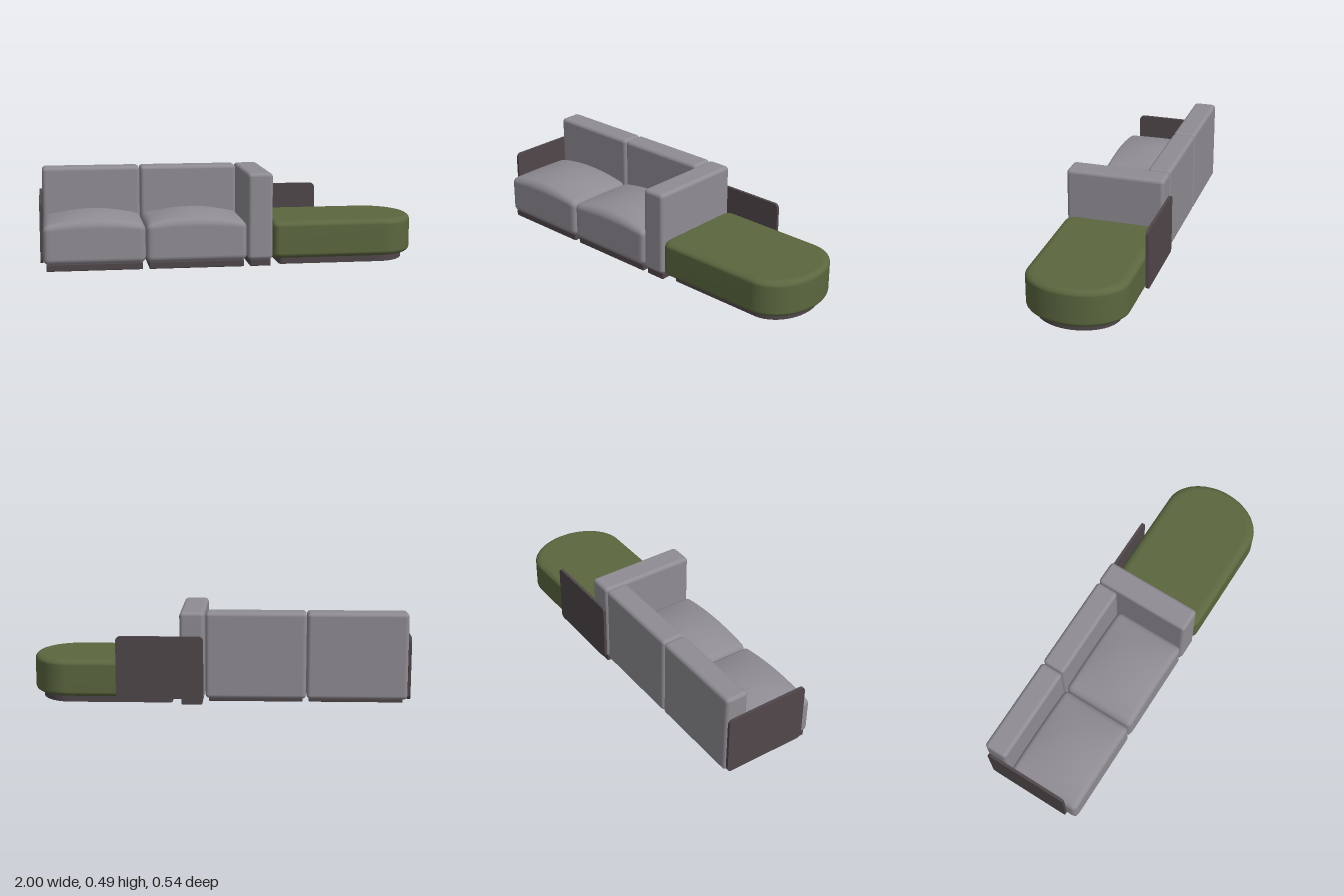
import * as THREE from 'three';
import { RoundedBoxGeometry } from 'three/addons/geometries/RoundedBoxGeometry.js';

export function createModel() {
  const model = new THREE.Group();
  model.name = 'sectionalSofa';

  const mat = (name, color) => {
    const m = new THREE.MeshStandardMaterial({ color });
    m.name = name;
    return m;
  };
  const grey = mat('greyFabric', 0x8f8c93);
  const green = mat('greenFabric', 0x5b673f);
  const brown = mat('darkBrownWood', 0x50474a);

  const add = (name, geometry, material) => {
    const mesh = new THREE.Mesh(geometry, material);
    mesh.name = name;
    model.add(mesh);
    return mesh;
  };

  // Rounded block given by its min and max corners
  const block = (name, [x0, y0, z0], [x1, y1, z1], r, material) =>
    add(name, new RoundedBoxGeometry(x1 - x0, y1 - y0, z1 - z0, 4, r), material)
      .position.set((x0 + x1) / 2, (y0 + y1) / 2, (z0 + z1) / 2);

  // Soft cushion: rounded edges plus a domed top
  function cushionGeometry(w, h, d, r, crown) {
    const g = new THREE.BoxGeometry(2, 2, 2, 24, 16, 24);
    const p = g.attributes.position, n = g.attributes.normal;
    const half = new THREE.Vector3(w / 2, h / 2, d / 2);
    const inner = half.clone().subScalar(r);
    const innerMin = inner.clone().negate();
    const v = new THREE.Vector3(), c = new THREE.Vector3(), q = new THREE.Vector3();
    const spread = (a) => Math.sin(a * Math.PI / 2);
    const dome = (x, z) => {
      const u = x / half.x, t = z / half.z;
      return crown * (1 - u * u) * (1 - 0.5 * t * t);
    };
    for (let i = 0; i < p.count; i++) {
      v.set(spread(p.getX(i)), spread(p.getY(i)), spread(p.getZ(i))).multiply(half);
      c.copy(v).clamp(innerMin, inner);
      q.copy(v).sub(c).normalize();
      v.copy(c).addScaledVector(q, r);
      const lift = Math.max(0, (v.y + half.y) / h);
      p.setXYZ(i, v.x, v.y + lift ** 4 * dome(v.x, v.z), v.z);
      // Tilt the normals of the domed top along with its slope
      if (q.y > 0) {
        const e = 0.002;
        q.x -= q.y * (dome(v.x + e, v.z) - dome(v.x - e, v.z)) / (2 * e);
        q.z -= q.y * (dome(v.x, v.z + e) - dome(v.x, v.z - e)) / (2 * e);
        q.normalize();
      }
      n.setXYZ(i, q.x, q.y, q.z);
    }
    return g;
  }

  // Two seat modules: base, seat cushion and backrest
  for (const [side, x0] of [['right', -0.985], ['left', -0.457]]) {
    const x1 = x0 + 0.525;
    block(side + 'SeatBase', [x0 + 0.015, 0, -0.165], [x1 - 0.015, 0.036, 0.257], 0.004, brown);
    add(side + 'SeatCushion', cushionGeometry(0.525, 0.2, 0.402, 0.028, 0.055), grey)
      .position.set((x0 + x1) / 2, 0.135, 0.071);
    block(side + 'Backrest', [x0, 0.035, -0.257], [x1, 0.49, -0.132], 0.02, grey);
  }

  // Tall armrest between the seats and the ottoman
  block('armrestBase', [0.085, 0, -0.248], [0.195, 0.036, 0.257], 0.004, brown);
  block('armrest', [0.073, 0.035, -0.257], [0.204, 0.49, 0.272], 0.02, grey);

  // D-shaped outline: small corners at x0, a half ellipse ending at x1
  function outline(x0, x1, halfZ, bow, r) {
    const points = [];
    const arc = (cx, cy, rx, ry, start, sweep, steps) => {
      for (let i = 0; i <= steps; i++) {
        const a = start + sweep * i / steps;
        points.push(new THREE.Vector2(cx + rx * Math.cos(a), cy + ry * Math.sin(a)));
      }
    };
    arc(x1 - bow, 0, bow, halfZ, -Math.PI / 2, Math.PI, 32);
    arc(x0 + r, halfZ - r, r, r, Math.PI / 2, Math.PI / 2, 6);
    arc(x0 + r, r - halfZ, r, r, Math.PI, Math.PI / 2, 6);
    return points;
  }

  // Ottoman cushion lofted through outlines that shrink by k at the rounded rims
  function ottomanGeometry(y0, y1, rim) {
    const steps = 6, rings = [];
    for (let i = 0; i <= steps; i++) {
      const a = (i / steps) * Math.PI / 2;
      const rise = rim * (1 - Math.cos(a)), k = 1 - Math.sin(a);
      rings.splice(i, 0, [y0 + rise, k], [y1 - rise, k]);
    }
    const pos = [], idx = [];
    let count = 0;
    for (const [y, k] of rings) {
      const points = outline(0.207 + 0.02 * k, 1 - 0.03 * k, 0.2645 - 0.045 * k, 0.2 - 0.01 * k, 0.035);
      count = points.length;
      for (const q of points) pos.push(q.x, y, q.y + 0.0075);
    }
    for (let j = 0; j < rings.length - 1; j++) {
      for (let i = 0; i < count; i++) {
        const a = j * count + i, b = j * count + (i + 1) % count;
        idx.push(a, a + count, b, b, a + count, b + count);
      }
    }
    // Bottom and top caps
    const low = pos.length / 3, high = low + 1, last = (rings.length - 1) * count;
    pos.push(0.6, y0, 0.0075, 0.6, y1, 0.0075);
    for (let i = 0; i < count; i++) {
      const k = (i + 1) % count;
      idx.push(low, i, k, high, last + k, last + i);
    }
    const g = new THREE.BufferGeometry();
    g.setAttribute('position', new THREE.Float32BufferAttribute(pos, 3));
    g.setIndex(idx);
    g.computeVertexNormals();
    return g;
  }
  add('ottomanCushion', ottomanGeometry(0.035, 0.234, 0.028), green);

  // Ottoman base, inset from the cushion
  const base = new THREE.ExtrudeGeometry(new THREE.Shape(outline(0.245, 0.957, 0.215, 0.17, 0.02)),
    { depth: 0.036, bevelEnabled: false });
  base.rotateX(Math.PI / 2).translate(0, 0.036, 0.0075);
  add('ottomanBase', base, brown);

  // Thin screen panels with rounded corners
  function panelGeometry(w, h, t, r) {
    const s = new THREE.Shape();
    const x = w / 2 - r, y = h / 2 - r;
    [[x, y], [-x, y], [-x, -y], [x, -y]].forEach(([cx, cy], i) =>
      s.absarc(cx, cy, r, i * Math.PI / 2, (i + 1) * Math.PI / 2, false));
    return new THREE.ExtrudeGeometry(s, { depth: t, bevelEnabled: false, curveSegments: 8 })
      .translate(0, 0, -t / 2);
  }
  add('backPanel', panelGeometry(0.457, 0.33, 0.015, 0.025), brown).position.set(0.3075, 0.2, -0.2645);
  const sidePanel = add('sidePanel', panelGeometry(0.46, 0.33, 0.015, 0.025), brown);
  sidePanel.rotation.y = Math.PI / 2;
  sidePanel.position.set(-0.9925, 0.2, -0.017);

  return model;
}
